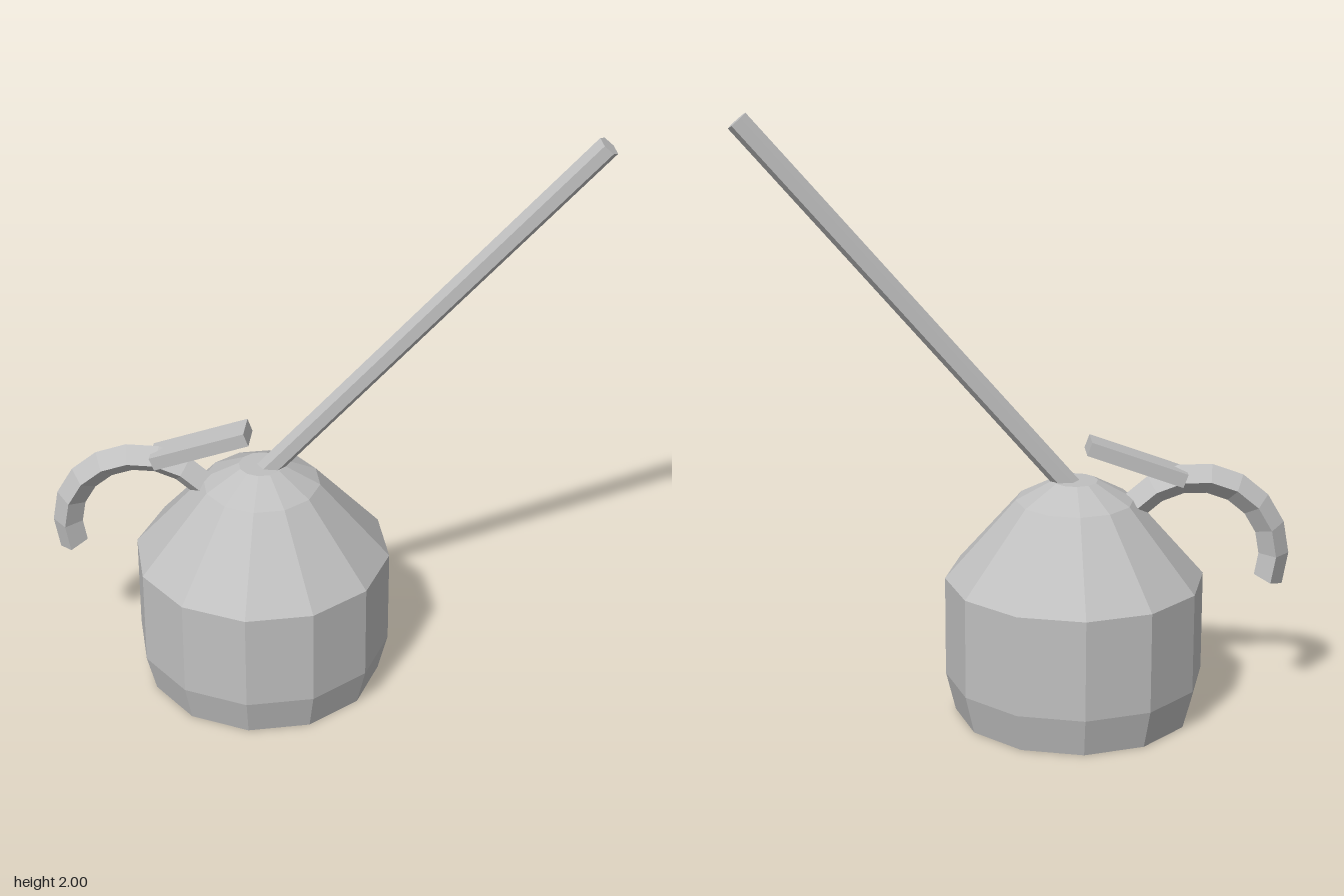
import * as THREE from 'three';

export function createModel() {
  const group = new THREE.Group();
  const grey = new THREE.MeshStandardMaterial({ color: 0xc0c0c0, flatShading: true });
  grey.name = 'plain grey';

  const add = (name, geometry, parent = group) => {
    const mesh = new THREE.Mesh(geometry, grey);
    mesh.name = name;
    parent.add(mesh);
    return mesh;
  };

  // Twelve-sided pot with a domed shoulder, closed at both ends
  const profile = [
    [0, 0], [0.395, 0], [0.427, 0.13], [0.427, 0.465],
    [0.195, 0.73], [0.075, 0.795], [0, 0.795],
  ].map(([r, y]) => new THREE.Vector2(r, y));
  add('body', new THREE.LatheGeometry(profile, 12)).position.x = -0.19;

  // Long slanted six-sided rod, sunk into the top of the pot
  const start = new THREE.Vector3(-0.207, 0.735, 0);
  const end = new THREE.Vector3(0.865, 1.977, 0);
  const rodGeometry = new THREE.CylinderGeometry(0.037, 0.037, start.distanceTo(end), 6);
  rodGeometry.rotateY(Math.PI / 2);
  const rod = add('rod', rodGeometry);
  rod.position.copy(start).lerp(end, 0.5);
  rod.rotation.z = -Math.atan2(end.x - start.x, end.y - start.y);

  // Hooked handle: half ring of diamond section with capped ends
  const ring = 0.266, tube = 0.05;
  const handle = new THREE.Group();
  handle.name = 'handle';
  handle.position.set(-0.585, 0.53, 0);
  handle.rotation.z = THREE.MathUtils.degToRad(20);
  add('handleArc', new THREE.TorusGeometry(ring, tube, 4, 9, Math.PI), handle);
  for (const side of [1, -1]) {
    const cap = new THREE.CircleGeometry(tube, 4);
    cap.rotateX(Math.PI / 2);
    add('handleCap', cap, handle).position.x = side * ring;
  }
  group.add(handle);

  // Flat lever resting on the handle
  const lever = add('lever', new THREE.BoxGeometry(0.335, 0.047, 0.1));
  lever.position.set(-0.39, 0.856, 0);
  lever.rotation.z = THREE.MathUtils.degToRad(20);

  return group;
}
